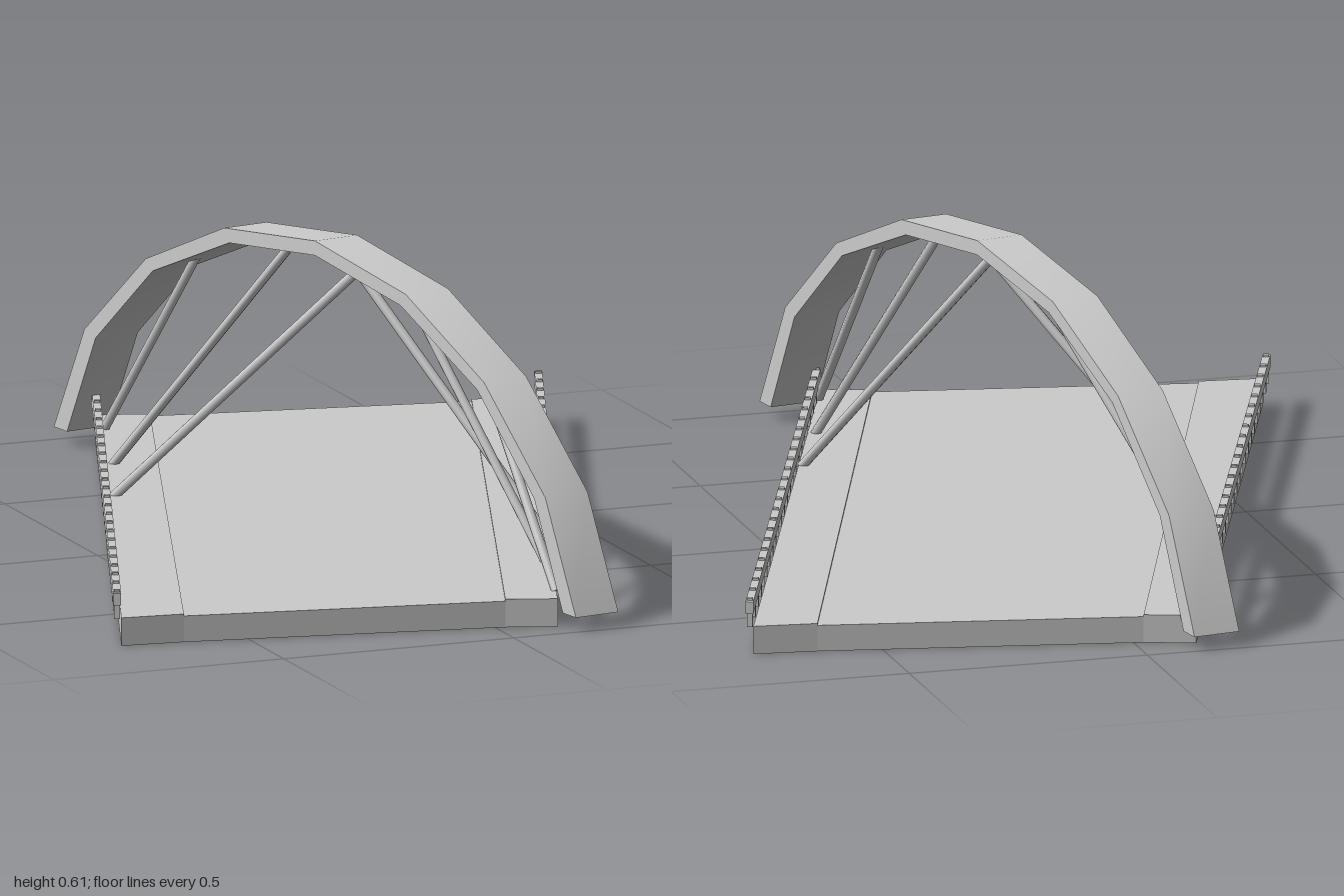
import * as THREE from 'three';
import { toCreasedNormals } from 'three/addons/utils/BufferGeometryUtils.js';

const material = new THREE.MeshStandardMaterial({ color: 0xcccccc });
const flat = new THREE.MeshStandardMaterial({ color: 0xcccccc, flatShading: true });

function addMesh(parent, name, geometry, mat = flat) {
  const mesh = new THREE.Mesh(geometry, mat);
  mesh.name = name;
  parent.add(mesh);
  return mesh;
}

// Horizontal slab from a plan outline of [x, z] corners
function slab(outline, height) {
  const shape = new THREE.Shape(outline.map(([x, z]) => new THREE.Vector2(x, -z)));
  return new THREE.ExtrudeGeometry(shape, { depth: height, bevelEnabled: false }).rotateX(-Math.PI / 2);
}

// Straight round bar between two points
function addBar(parent, name, a, b, radius) {
  const dir = b.clone().sub(a);
  const bar = addMesh(parent, name, new THREE.CylinderGeometry(radius, radius, dir.length(), 8), material);
  bar.position.copy(a).add(b).multiplyScalar(0.5);
  bar.quaternion.setFromUnitVectors(new THREE.Vector3(0, 1, 0), dir.normalize());
}

// Railing along one deck edge: posts carrying a flat band
function createRailing(name, start, end) {
  const railing = new THREE.Group();
  railing.name = name;
  const length = start.distanceTo(end);
  const band = addMesh(railing, 'railBand', new THREE.BoxGeometry(length, 0.025, 0.016));
  band.position.y = 0.096;
  const count = 24;
  for (let i = 0; i < count; i++) {
    const post = addMesh(railing, 'railPost', new THREE.BoxGeometry(0.01, 0.06, 0.012));
    post.position.set((i / (count - 1) - 0.5) * (length - 0.03), 0.083, 0);
  }
  railing.position.copy(start).add(end).multiplyScalar(0.5);
  railing.rotation.y = Math.atan2(-(end.z - start.z), end.x - start.x);
  return railing;
}

export function createModel() {
  const bridge = new THREE.Group();
  bridge.name = 'bridge';

  // Skewed roadway with a slightly raised walkway along each side
  const half = [[-0.76, 0.77], [-0.63, 0.785], [0.02, 0.905], [0.12, 0.94]];
  const mirrored = half.map(([x, z]) => [-x, -z]);
  addMesh(bridge, 'roadDeck', slab([...half, ...mirrored], 0.054));
  const walkway = [half[0], half[1], mirrored[2], mirrored[3]];
  for (const side of [1, -1]) {
    const strip = addMesh(bridge, side > 0 ? 'rightWalkway' : 'leftWalkway',
      slab(walkway.map(([x, z]) => [x * side, z * side]), 0.006));
    strip.position.y = 0.052;
  }

  // Railings on both long edges
  for (const side of [1, -1]) {
    bridge.add(createRailing(side > 0 ? 'rightRailing' : 'leftRailing',
      new THREE.Vector3(-0.767 * side, 0, 0.765 * side),
      new THREE.Vector3(-0.13 * side, 0, -0.925 * side)));
  }

  // Diagonal arch rib: outer and inner polygonal curves, mirrored about the crown
  const outer = [[1.006, 0.03], [0.888, 0.255], [0.652, 0.447], [0.35, 0.57], [0, 0.612]];
  const inner = [[0.955, 0.03], [0.845, 0.245], [0.625, 0.427], [0.33, 0.543], [0, 0.582]];
  const fullCurve = (pts) => [...pts, ...pts.slice(0, -1).reverse().map(([u, y]) => [-u, y])];
  const profile = [...fullCurve(outer), ...fullCurve(inner).reverse()];
  const ribShape = new THREE.Shape(profile.map(([u, y]) => new THREE.Vector2(u, y)));
  const ribGeometry = new THREE.ExtrudeGeometry(ribShape, { depth: 0.1, bevelEnabled: false }).translate(0, 0, -0.05);
  const rib = addMesh(bridge, 'archRib', toCreasedNormals(ribGeometry, 0.6), material);
  rib.rotation.y = 0.166 - Math.PI / 2;
  rib.position.x = 0.018;

  // Slanted hangers: arch point, then deck edge point
  const hangers = [
    [0.11, 0.47, 0.54, 0.145, 0.055, 0.87],
    [0.065, 0.555, 0.27, 0.222, 0.055, 0.625],
    [0.04, 0.59, -0.04, 0.317, 0.055, 0.395],
    [0.03, 0.575, 0.11, -0.36, 0.055, -0.26],
    [-0.01, 0.565, -0.17, -0.255, 0.055, -0.525],
    [-0.07, 0.47, -0.53, -0.155, 0.055, -0.82],
  ];
  for (const h of hangers) {
    addBar(bridge, 'hanger', new THREE.Vector3(...h.slice(0, 3)), new THREE.Vector3(...h.slice(3)), 0.01);
  }
  return bridge;
}
